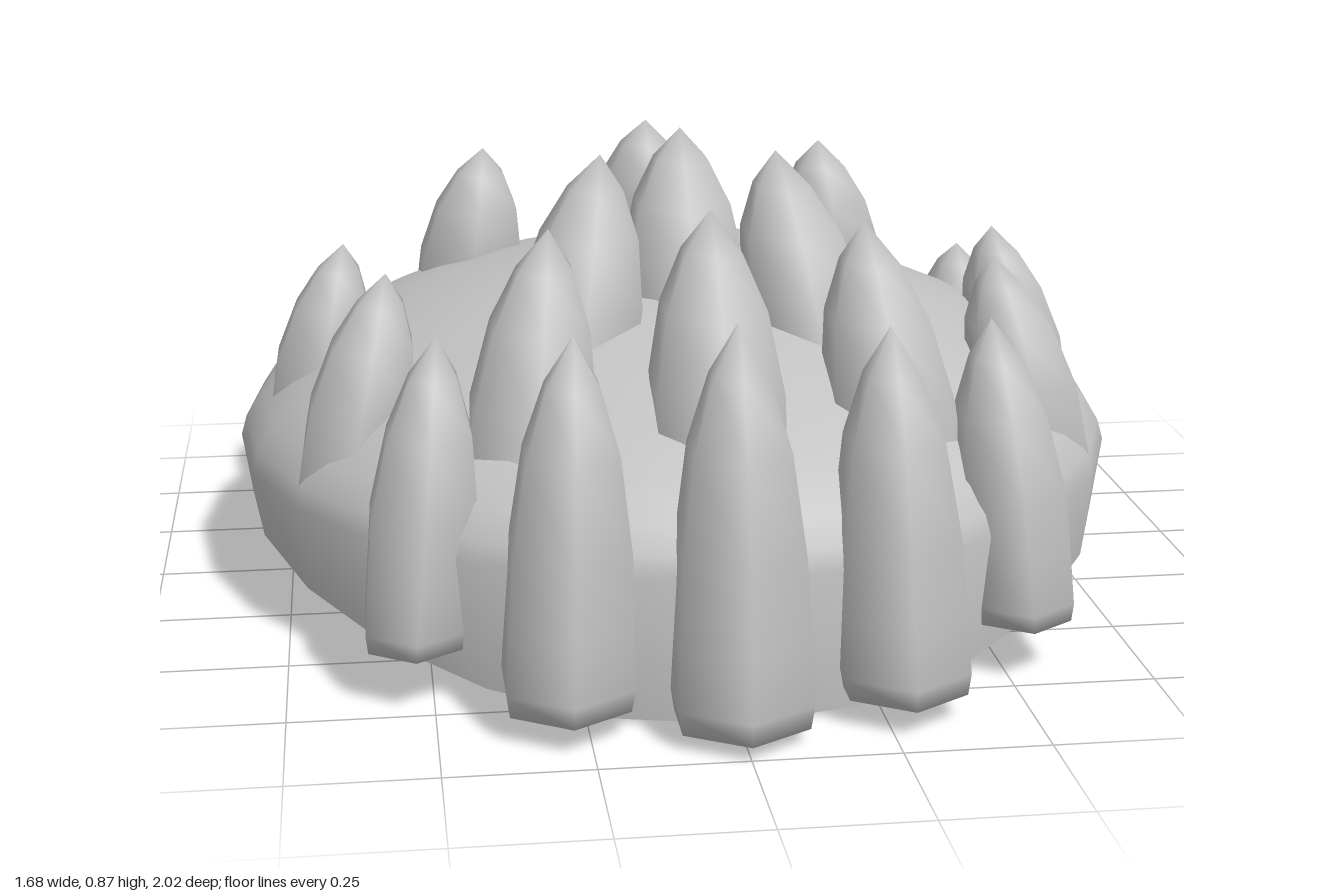
import * as THREE from 'three';
import { toCreasedNormals } from 'three/addons/utils/BufferGeometryUtils.js';

const grey = new THREE.MeshStandardMaterial({ color: 0xc2c2c2 });
grey.name = 'grey';

// Height of the arched lower rim at depth z
function rimHeight(z) {
  const d = z + 0.15;
  return 0.154 - (d > 0 ? 0.151 : 0.107) * d * d;
}

// Hollow oval dome: inner wall down, across the rim, outer wall up
function makeShell() {
  const outer = [new THREE.Vector2(0.98, -1)];
  for (let i = 0; i <= 10; i++) {
    const a = (i / 10) * Math.PI / 2;
    outer.push(new THREE.Vector2(i === 10 ? 0 : Math.cos(a), Math.sin(a) ** 1.2));
  }
  const inner = outer.map(p => new THREE.Vector2(p.x * 0.972, p.y > 0 ? p.y * 0.94 : p.y)).reverse();
  const geo = new THREE.LatheGeometry([...inner, ...outer], 24);
  const pos = geo.attributes.position;
  for (let i = 0; i < pos.count; i++) {
    const z = pos.getZ(i) * 0.925 - 0.055;
    const level = pos.getY(i);
    const y = level < -0.5 ? rimHeight(z) : 0.265 + 0.343 * level;
    pos.setXYZ(i, pos.getX(i) * 0.84, y, z);
  }
  const mesh = new THREE.Mesh(toCreasedNormals(geo, 1.2), grey);
  mesh.name = 'shell';
  return mesh;
}

// Six-sided pointed tuft: foot set outwards, tip leaning towards the crown
const tuftProfile = [[0, 0], [0.93, 0], [1, 0.06], [1, 0.22], [1, 0.43], [0.79, 0.69], [0.45, 0.87], [0, 1]]
  .map(([r, t]) => new THREE.Vector2(r, t));

function makeTuft(x, z, bottom, tip, rx, rz, lean, foot) {
  const geo = new THREE.LatheGeometry(tuftProfile, 6);
  const pos = geo.attributes.position;
  const reach = Math.hypot(x, z);
  for (let i = 0; i < pos.count; i++) {
    const t = pos.getY(i);
    const size = THREE.MathUtils.lerp(foot, 1, Math.min(1, t / 0.43));
    const shift = 1 + lean * (0.4 - t) / reach;
    pos.setXYZ(i,
      x * shift + (pos.getX(i) / 0.866) * rx * size,
      bottom + t * (tip - bottom),
      z * shift + pos.getZ(i) * rz * size);
  }
  return new THREE.Mesh(toCreasedNormals(geo, 2), grey);
}

// x, z, bottom, tip, half width, half depth, lean, foot size
const centreTufts = [
  [0, 0.86, 0.03, 0.69, 0.102, 0.122, 0.06, 1.12],
  [0, 0.575, 0.29, 0.805, 0.11, 0.145, 0.13, 1],
  [0, 0.14, 0.45, 0.875, 0.107, 0.14, 0.09, 1],
  [0, -0.535, 0.4, 0.79, 0.105, 0.137, 0.1, 1],
  [0, -0.897, 0.185, 0.53, 0.093, 0.105, 0.01, 0.85],
];
const pairedTufts = [
  [0.275, 0.8, 0.05, 0.66, 0.098, 0.125, 0.06, 1.1],
  [0.51, 0.625, 0.1, 0.62, 0.09, 0.122, 0.08, 0.95],
  [0.315, 0.52, 0.25, 0.77, 0.106, 0.14, 0.12, 1],
  [0.21, 0.265, 0.39, 0.85, 0.108, 0.148, 0.13, 1],
  [0.61, 0.32, 0.26, 0.66, 0.09, 0.122, 0.1, 0.95],
  [0.68, -0.025, 0.27, 0.645, 0.085, 0.12, 0.08, 0.92],
  [0.675, -0.447, 0.215, 0.515, 0.08, 0.115, 0.02, 0.85],
  [0.375, -0.39, 0.37, 0.76, 0.1, 0.132, 0.07, 1],
  [0.4, -0.785, 0.19, 0.515, 0.087, 0.104, 0.015, 0.85],
];

export function createModel() {
  const model = new THREE.Group();
  model.name = 'spikyCap';
  model.add(makeShell());

  const tufts = new THREE.Group();
  tufts.name = 'tufts';
  for (const t of centreTufts) {
    const mesh = makeTuft(...t);
    mesh.name = 'centreTuft';
    tufts.add(mesh);
  }
  for (const [x, ...rest] of pairedTufts) {
    for (const side of [1, -1]) {
      const mesh = makeTuft(side * x, ...rest);
      mesh.name = side > 0 ? 'leftTuft' : 'rightTuft';
      tufts.add(mesh);
    }
  }
  model.add(tufts);
  return model;
}
